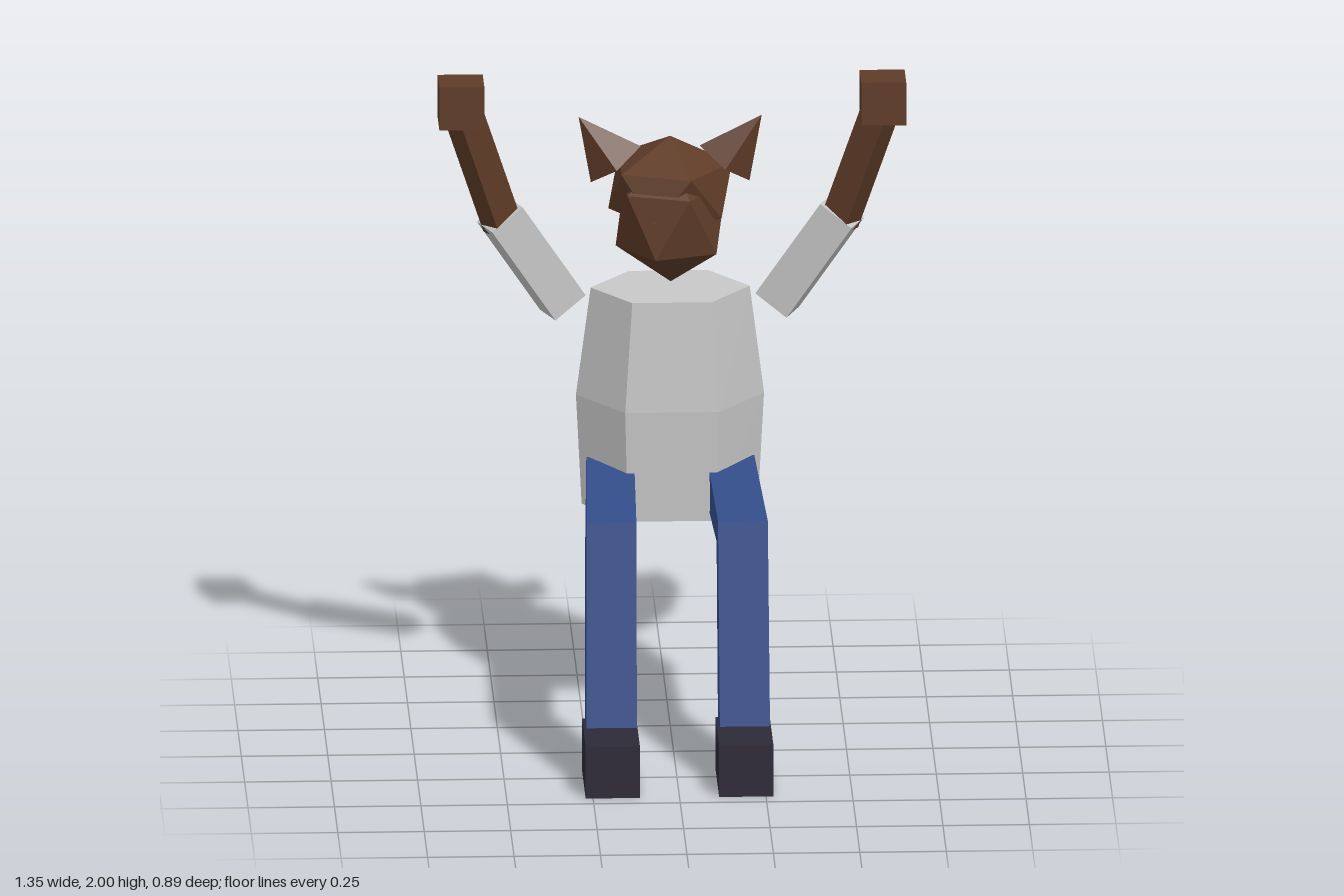
import * as THREE from 'three';
import { ConvexGeometry } from 'three/addons/geometries/ConvexGeometry.js';

const V = (x, y, z) => new THREE.Vector3(x, y, z);

// Skin between matching rings of points, closed with a fan at each end.
function loft(rings) {
  const pos = [];
  const tri = (...pts) => pts.forEach((p) => pos.push(p.x, p.y, p.z));
  const n = rings[0].length;
  for (let r = 0; r + 1 < rings.length; r++) {
    for (let i = 0; i < n; i++) {
      const j = (i + 1) % n, a = rings[r], b = rings[r + 1];
      tri(a[i], a[j], b[j]);
      tri(a[i], b[j], b[i]);
    }
  }
  const first = rings[0], last = rings[rings.length - 1];
  for (let i = 1; i + 1 < n; i++) {
    tri(first[0], first[i + 1], first[i]);
    tri(last[0], last[i], last[i + 1]);
  }
  const g = new THREE.BufferGeometry();
  g.setAttribute('position', new THREE.Float32BufferAttribute(pos, 3));
  g.computeVertexNormals();
  return g;
}

// Twenty-sided ball standing on one corner.
function facetedBall(rx, ry, rz) {
  const pts = [V(0, ry, 0), V(0, -ry, 0)];
  for (let i = 0; i < 10; i++) {
    const a = (i * Math.PI) / 5;
    const y = i % 2 ? -0.447 : 0.447;
    pts.push(V(0.894 * Math.cos(a) * rx, y * ry, 0.894 * Math.sin(a) * rz));
  }
  return new ConvexGeometry(pts);
}

// Square bar running from one point to another, its sides level.
function bar(from, to, width, depth) {
  const d = to.clone().sub(from);
  const g = new THREE.BoxGeometry(width, d.length(), depth);
  const up = d.clone().normalize();
  const side = V(-up.z, 0, up.x).normalize();
  const across = V().crossVectors(up, side);
  g.applyMatrix4(new THREE.Matrix4().makeBasis(across, up, side));
  const mid = from.clone().add(to).multiplyScalar(0.5);
  return g.translate(mid.x, mid.y, mid.z);
}

export function createModel() {
  const root = new THREE.Group();
  root.name = 'seatedFigure';
  const material = (name, color) => {
    const m = new THREE.MeshStandardMaterial({ color, flatShading: true });
    m.name = name;
    return m;
  };
  const fur = material('brownFur', 0x5e3b27);
  const shirt = material('greyShirt', 0xc6c6c6);
  const denim = material('blueDenim', 0x334d8a);
  const leather = material('darkShoe', 0x2d2a38);
  const add = (name, geometry, mat, x = 0, y = 0, z = 0) => {
    const m = new THREE.Mesh(geometry, mat);
    m.name = name;
    m.position.set(x, y, z);
    root.add(m);
    return m;
  };

  // Torso: six-sided rings [y, half width, front z, back z], leaning slightly
  const torsoRings = [
    [0.665, 0.255, -0.12, -0.445],
    [1.0, 0.272, -0.1, -0.437],
    [1.328, 0.23, -0.115, -0.39],
  ].map(([y, w, front, back]) =>
    Array.from({ length: 6 }, (_, i) => {
      const a = Math.PI / 6 + (i * Math.PI) / 3;
      const c = Math.cos(a) / Math.cos(Math.PI / 6);
      return V(w * Math.sin(a), y - 0.006 * c, (front + back) / 2 + ((front - back) / 2) * c);
    }));
  add('torso', loft(torsoRings), shirt);

  // Head: a face ball with a flatter crown over it
  add('face', facetedBall(0.178, 0.2, 0.185), fur, 0, 1.555, -0.218);
  add('crown', facetedBall(0.2, 0.15, 0.209), fur, 0, 1.633, -0.258);

  for (const s of [1, -1]) {
    const side = s > 0 ? 'left' : 'right';

    // Pointed ear
    const ear = add(side + 'Ear', new THREE.ConeGeometry(0.09, 0.18, 4), fur, s * 0.211, 1.772, -0.255);
    ear.rotation.z = -s * 0.64;
    ear.scale.z = 0.75;

    // Raised arm
    add(side + 'UpperArm', bar(V(s * 0.31, 1.28, -0.265), V(s * 0.495, 1.57, -0.195), 0.115, 0.115), shirt);
    add(side + 'Forearm', bar(V(s * 0.485, 1.53, -0.195), V(s * 0.6, 1.89, -0.118), 0.085, 0.085), fur);
    add(side + 'Hand', new THREE.BoxGeometry(0.13, 0.13, 0.125), fur, s * 0.61, 1.935, -0.117);

    // Bent leg: rings [inner x, outer x, lower y, lower z, upper y, upper z]
    const legRings = [
      [0.105, 0.243, 0.68, -0.255, 0.818, -0.242],
      [0.118, 0.262, 0.685, 0.165, 0.78, 0.275],
      [0.12, 0.265, 0.165, 0.215, 0.185, 0.36],
    ].map(([inner, outer, y0, z0, y1, z1]) => {
      const [a, b] = s > 0 ? [inner, outer] : [-outer, -inner];
      return [V(a, y0, z0), V(b, y0, z0), V(b, y1, z1), V(a, y1, z1)];
    });
    add(side + 'Leg', loft(legRings), denim);
    add(side + 'Shoe', new THREE.BoxGeometry(0.157, 0.155, 0.28), leather, s * 0.193, 0.0775, 0.308);
  }
  return root;
}
